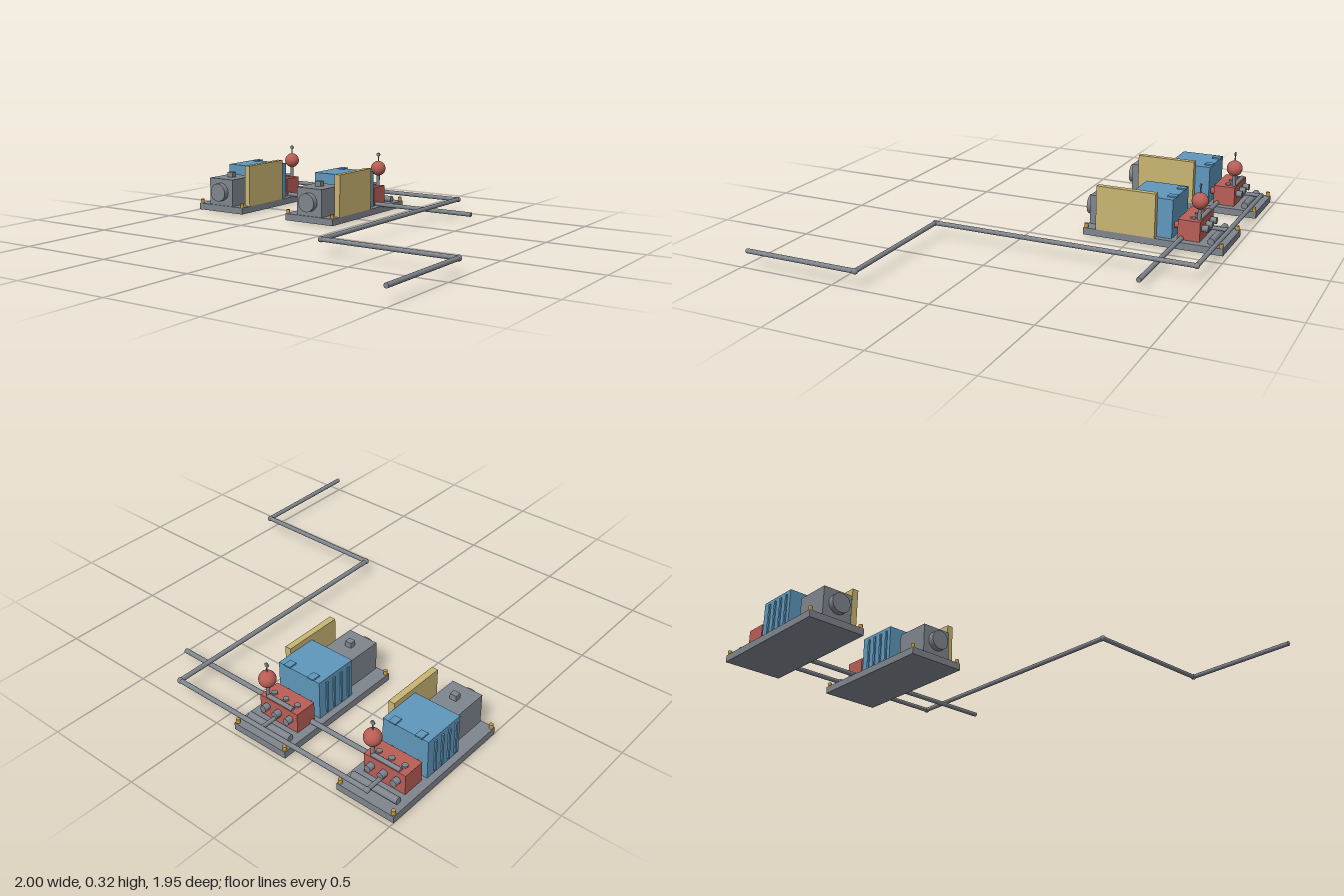
import * as THREE from 'three';

const mat = (name, color) => new THREE.MeshStandardMaterial({ name, color });

export function createModel() {
  const grey = mat('steelGrey', 0x7f858d);
  const blue = mat('engineBlue', 0x5f97bc);
  const red = mat('pumpRed', 0xb95e56);
  const yellow = mat('panelYellow', 0xc9b473);
  const amber = mat('lugAmber', 0xc8993f);

  const add = (parent, name, geometry, material, x, y, z) => {
    const mesh = new THREE.Mesh(geometry, material);
    mesh.name = name;
    mesh.position.set(x, y, z);
    parent.add(mesh);
    return mesh;
  };

  // Box given by its lower and upper bounds
  const box = (parent, name, material, [x0, x1], [y0, y1], [z0, z1]) =>
    add(parent, name, new THREE.BoxGeometry(x1 - x0, y1 - y0, z1 - z0), material,
      (x0 + x1) / 2, (y0 + y1) / 2, (z0 + z1) / 2);

  // Cylinder between two points
  const rod = (parent, name, material, a, b, radius, sides = 16) => {
    const from = new THREE.Vector3(...a), to = new THREE.Vector3(...b);
    const dir = to.clone().sub(from);
    const mid = from.clone().add(to).multiplyScalar(0.5);
    const mesh = add(parent, name, new THREE.CylinderGeometry(radius, radius, dir.length(), sides),
      material, mid.x, mid.y, mid.z);
    mesh.quaternion.setFromUnitVectors(new THREE.Vector3(0, 1, 0), dir.normalize());
    return mesh;
  };

  // One skid-mounted pump set, with x measured from the skid centre line
  const pumpUnit = (name, x) => {
    const unit = new THREE.Group();
    unit.name = name;
    unit.position.x = x;

    box(unit, 'skidBase', grey, [-0.153, 0.153], [0, 0.036], [-0.975, -0.255]);
    for (const sx of [-1, 1]) for (const z of [-0.962, -0.268])
      rod(unit, 'liftingLug', amber, [sx * 0.142, 0.036, z], [sx * 0.142, 0.058, z], 0.01, 12);

    // Motor
    box(unit, 'motor', grey, [-0.08, 0.08], [0.036, 0.186], [-0.45, -0.262]);
    rod(unit, 'motorFanCover', grey, [0, 0.112, -0.262], [0, 0.112, -0.23], 0.05, 24);
    box(unit, 'terminalBox', grey, [-0.017, 0.017], [0.186, 0.214], [-0.373, -0.341]);

    // Gear housing with side ribs and top caps
    box(unit, 'gearHousing', blue, [-0.12, 0.122], [0.036, 0.235], [-0.708, -0.486]);
    for (let i = 0; i < 4; i++) {
      const z = -0.665 + i * 0.048;
      box(unit, 'housingRib', blue, [-0.127, -0.12], [0.05, 0.215], [z, z + 0.012]);
    }
    for (const cx of [-0.07, 0.07])
      box(unit, 'housingCap', blue, [cx - 0.018, cx + 0.018], [0.235, 0.242], [-0.713, -0.668]);

    // Control panel
    box(unit, 'controlPanel', yellow, [0.122, 0.154], [0.036, 0.263], [-0.63, -0.322]);

    // Pump block with three cylinders
    box(unit, 'pumpBlock', red, [-0.11, 0.112], [0.036, 0.138], [-0.845, -0.733]);
    for (const cx of [-0.069, 0, 0.069]) {
      rod(unit, 'plunger', grey, [cx, 0.095, -0.845], [cx, 0.095, -0.876], 0.017);
      rod(unit, 'valveCap', grey, [cx, 0.138, -0.797], [cx, 0.146, -0.797], 0.014);
      rod(unit, 'driveRod', red, [cx, 0.095, -0.733], [cx, 0.095, -0.708], 0.017);
    }
    rod(unit, 'dischargeManifold', grey, [-0.075, 0.142, -0.831], [0.078, 0.142, -0.831], 0.011);
    rod(unit, 'suctionManifold', grey, [-0.122, 0.052, -0.904], [0.124, 0.052, -0.904], 0.017);

    // Pulsation damper with gauge
    rod(unit, 'damperNeck', grey, [0.078, 0.13, -0.829], [0.078, 0.2, -0.829], 0.009);
    add(unit, 'damperSphere', new THREE.SphereGeometry(0.041, 24, 16), red, 0.078, 0.235, -0.829);
    rod(unit, 'gaugeStem', grey, [0.078, 0.27, -0.829], [0.078, 0.305, -0.829], 0.003, 8);
    rod(unit, 'gaugeDial', grey, [0.078, 0.312, -0.832], [0.078, 0.312, -0.826], 0.011);

    // Branch to the discharge line
    rod(unit, 'dischargeBranch', grey, [0, 0.08, -0.845], [0, 0.08, -0.959], 0.01);
    return unit;
  };

  const model = new THREE.Group();
  model.name = 'pumpStation';
  model.add(pumpUnit('rightPumpUnit', -0.847), pumpUnit('leftPumpUnit', -0.245));

  // Discharge line with ball joints at the corners
  const route = [[-0.847, -0.959], [0.274, -0.959], [0.274, 0.383], [0.984, 0.383], [0.984, 0.975]]
    .map(([x, z]) => [x, 0.08, z]);
  for (let i = 1; i < route.length; i++) {
    rod(model, 'dischargePipe', grey, route[i - 1], route[i], 0.0115);
    if (i < route.length - 1)
      add(model, 'pipeElbow', new THREE.SphereGeometry(0.0145, 16, 12), grey, ...route[i]);
  }
  add(model, 'pipeElbow', new THREE.SphereGeometry(0.0145, 16, 12), grey, ...route[0]);

  // Shared suction line
  rod(model, 'suctionPipe', grey, [-0.847, 0.044, -0.753], [0.461, 0.044, -0.753], 0.012);
  return model;
}
